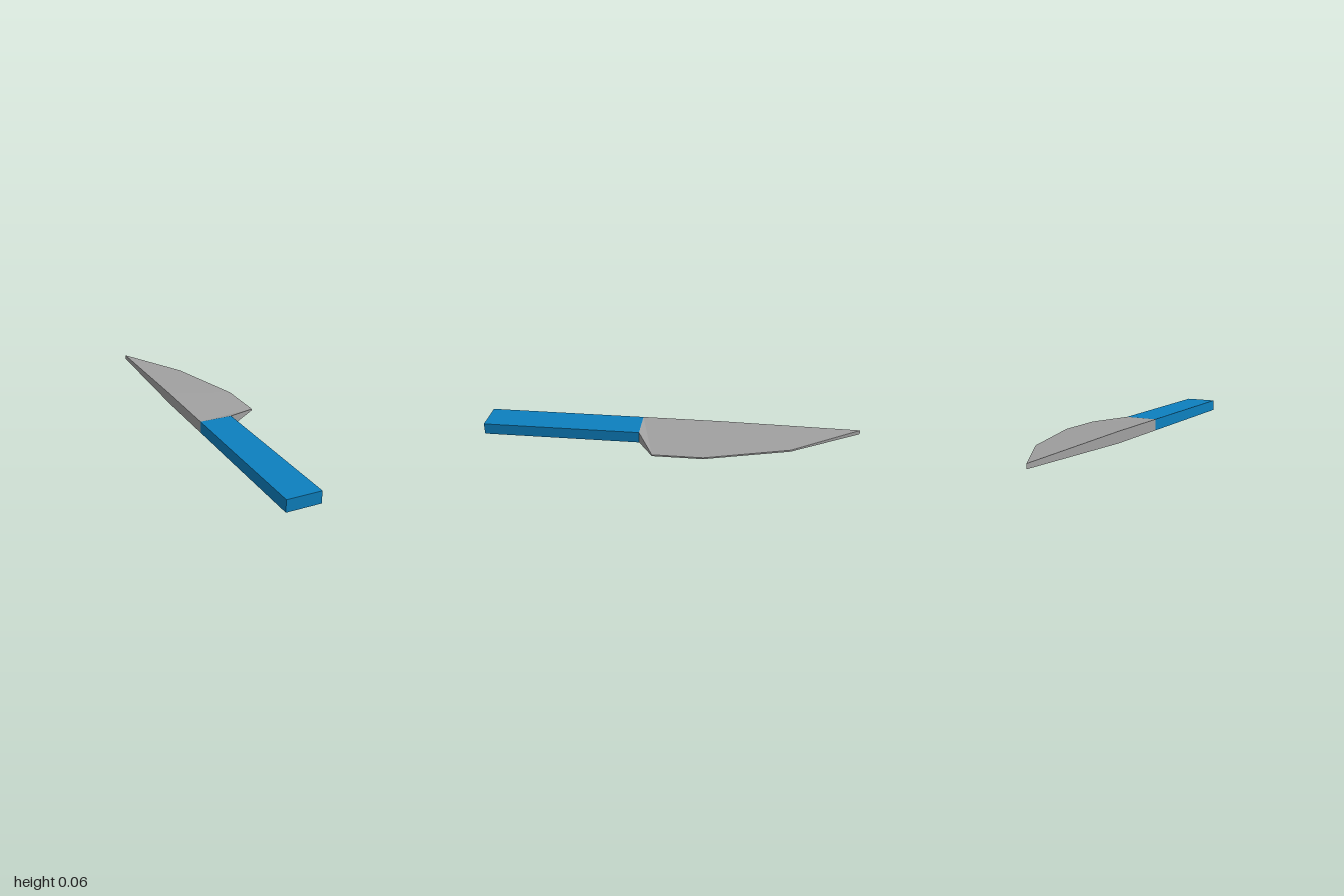
import * as THREE from 'three';

// Closed solid from an outline of [x, z, bottomY, topY], counter-clockwise seen from above
function plateSolid(outline, faces) {
  const top = outline.map(([x, z, , t]) => [x, t, z]);
  const bottom = outline.map(([x, z, b]) => [x, b, z]);
  const pos = [];
  for (const [a, b, c] of faces) {
    pos.push(...top[a], ...top[b], ...top[c]);
    pos.push(...bottom[a], ...bottom[c], ...bottom[b]);
  }
  outline.forEach((_, i) => {
    const j = (i + 1) % outline.length;
    pos.push(...bottom[i], ...bottom[j], ...top[j]);
    pos.push(...bottom[i], ...top[j], ...top[i]);
  });
  const geometry = new THREE.BufferGeometry();
  geometry.setAttribute('position', new THREE.Float32BufferAttribute(pos, 3));
  geometry.computeVertexNormals();
  return geometry;
}

export function createModel() {
  const model = new THREE.Group();
  model.name = 'knife';
  const steel = new THREE.MeshStandardMaterial({ color: 0xa0a0a0, flatShading: true });
  steel.name = 'steel grey';
  const blue = new THREE.MeshStandardMaterial({ color: 0x0d80bf, flatShading: true });
  blue.name = 'handle blue';

  // Straight rectangular handle
  const handle = new THREE.Mesh(new THREE.BoxGeometry(0.17, 0.06, 0.84), blue);
  handle.name = 'handle';
  handle.position.set(-0.084, 0.03, 0.58);
  model.add(handle);

  // Blade: thick along the spine, thin along the cutting edge
  const outline = [
    [-0.169, 0.16, 0, 0.06],       // handle, spine side
    [0.001, 0.16, 0, 0.06],        // handle, edge side
    [0.168, 0.07, 0.025, 0.033],   // heel
    [0.168, -0.19, 0.025, 0.033],  // belly
    [0.05, -0.63, 0.027, 0.036],   // upper belly
    [-0.169, -1, 0.027, 0.05],     // tip
    [-0.169, -0.25, 0, 0.06],      // spine
  ];
  const faces = [[0, 1, 2], [0, 2, 3], [0, 3, 6], [6, 3, 4], [6, 4, 5]];
  const blade = new THREE.Mesh(plateSolid(outline, faces), steel);
  blade.name = 'blade';
  model.add(blade);

  return model;
}
